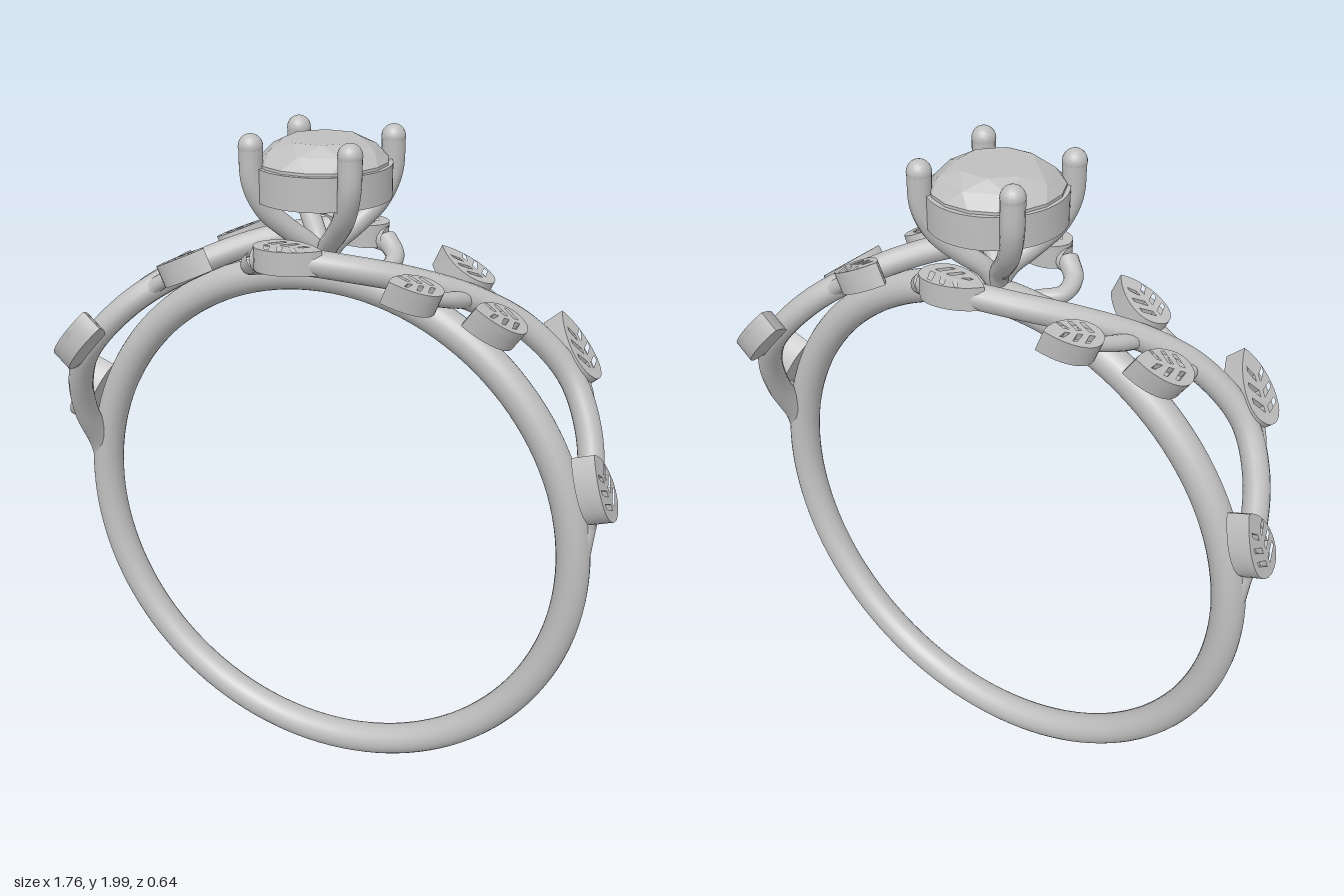
import * as THREE from 'three';
import { toCreasedNormals } from 'three/addons/utils/BufferGeometryUtils.js';
import { ConvexGeometry } from 'three/addons/geometries/ConvexGeometry.js';

const CY = 0.825; // height of the band's centre
const V = (x, y, z) => new THREE.Vector3(x, y, z);
const metal = new THREE.MeshStandardMaterial({ color: 0xbfbfbf });
metal.name = 'silverGrey';

function add(parent, name, geometry) {
  const mesh = new THREE.Mesh(geometry, metal);
  mesh.name = name;
  parent.add(mesh);
  return mesh;
}

// Tube through points, with its radius tapered from r0 to r1 along the length
function taperedTube(points, r0, r1, segments = 40) {
  const curve = new THREE.CatmullRomCurve3(points);
  const geo = new THREE.TubeGeometry(curve, segments, 1, 14);
  const pos = geo.attributes.position, p = V(0, 0, 0);
  for (let i = 0; i < pos.count; i++) {
    const t = Math.floor(i / 15) / segments;
    const c = curve.getPointAt(t);
    p.fromBufferAttribute(pos, i).sub(c).multiplyScalar(r0 + (r1 - r0) * t).add(c);
    pos.setXYZ(i, p.x, p.y, p.z);
  }
  geo.computeVertexNormals();
  // keep the tube seam smooth
  const n = geo.attributes.normal;
  for (let i = 0; i <= segments; i++) {
    const a = i * 15, b = a + 14;
    p.set(n.getX(a) + n.getX(b), n.getY(a) + n.getY(b), n.getZ(a) + n.getZ(b)).normalize();
    n.setXYZ(a, p.x, p.y, p.z);
    n.setXYZ(b, p.x, p.y, p.z);
  }
  return geo;
}

// Point at distance r around the band's axis
const around = (deg, z, r) => {
  const a = THREE.MathUtils.degToRad(deg);
  return V(r * Math.cos(a), CY + r * Math.sin(a), z);
};
const onSurface = (x, z, r = 0.865) => V(x, CY + Math.sqrt(r * r - x * x), z);

function leafShape(L) {
  const s = new THREE.Shape();
  s.moveTo(0, 0);
  s.bezierCurveTo(0.05 * L, 0.42 * L, 0.6 * L, 0.4 * L, L, 0.08 * L);
  s.bezierCurveTo(0.8 * L, -0.3 * L, 0.05 * L, -0.45 * L, 0, 0);
  return s;
}

// Thick leaf with engraved vein slits, laid on the curved surface
function addLeaf(parent, [bx, bz, tx, tz]) {
  const base = onSurface(bx, bz), tip = onSurface(tx, tz);
  const dir = tip.clone().sub(base), L = dir.length();
  const mid = base.clone().add(tip).multiplyScalar(0.5);
  dir.normalize();
  const n = V(mid.x, mid.y - CY, 0);
  n.addScaledVector(dir, -n.dot(dir)).normalize();
  const leaf = new THREE.Group();
  leaf.name = 'leaf';
  leaf.applyMatrix4(new THREE.Matrix4().makeBasis(dir, n.clone().cross(dir), n).setPosition(base));
  const options = { bevelEnabled: false, curveSegments: 14 };
  const body = new THREE.ExtrudeGeometry(leafShape(L), { ...options, depth: 0.045 });
  add(leaf, 'leafBody', toCreasedNormals(body.translate(0, 0, -0.03), 0.6));
  const top = leafShape(L);
  for (const side of [1, -1]) {
    for (const [u, v] of [[0.16, 0.22], [0.36, 0.21], [0.56, 0.15]]) {
      top.holes.push(new THREE.Path([[u, 0.04], [u + 0.09, 0.04], [u + 0.2, v], [u + 0.13, v]]
        .map(([a, b]) => new THREE.Vector2(a * L, side * b * L))));
    }
  }
  const face = new THREE.ExtrudeGeometry(top, { ...options, depth: 0.02 });
  add(leaf, 'leafVeins', toCreasedNormals(face.translate(0, 0, 0.015), 0.6));
  parent.add(leaf);
}

function makeVine() {
  const vine = new THREE.Group();
  vine.name = 'vine';
  const path = [[1, 0, 0.775], [8, -0.01, 0.79], [18, -0.085, 0.82], [28, -0.15, 0.84],
    [38, -0.185, 0.85], [50, -0.145, 0.855], [60, -0.065, 0.855], [70, 0.04, 0.855],
    [80, 0.13, 0.855], [90, 0.18, 0.86], [98, 0.165, 0.855]].map((a) => around(...a));
  add(vine, 'branch', taperedTube(path, 0.038, 0.036, 90));
  // thin curl linking the branch end to the band
  add(vine, 'tendril', taperedTube([path[10], V(-0.16, 1.64, 0.13), V(-0.165, 1.62, 0.07),
    V(-0.12, 1.615, 0.03), V(-0.06, 1.6, 0.01)], 0.03, 0.018));

  // leaves as base x, z and tip x, z
  const leaves = [[0.845, -0.01, 0.775, 0.015], [0.715, -0.215, 0.585, -0.31],
    [0.555, -0.06, 0.445, 0.065], [0.375, 0.09, 0.265, 0.21],
    [0.44, -0.11, 0.28, -0.17], [-0.12, 0.165, 0.08, 0.195]];
  leaves.forEach((l) => addLeaf(vine, l));

  // short stems from the branch into the leaf bases
  const stems = [[9, -0.02, 0.8, 0], [31, -0.165, 0.845, 1], [52, -0.135, 0.85, 2],
    [61, -0.055, 0.85, 3], [52, -0.135, 0.85, 4]];
  for (const [deg, z, r, i] of stems) {
    const [bx, bz, tx, tz] = leaves[i];
    const start = around(deg, z, r);
    const end = onSurface(bx + (tx - bx) * 0.3, bz + (tz - bz) * 0.3, 0.86);
    const mid = onSurface((start.x + bx) / 2, (start.z + bz) / 2, 0.855);
    add(vine, 'leafStem', taperedTube([start, mid, end], 0.026, 0.018, 12));
  }
  return vine;
}

function makeHead() {
  const head = new THREE.Group();
  head.name = 'head';

  // faceted stone: table, crown and girdle rings above a pointed base
  const points = [V(0, 1.765, 0)];
  for (const [count, r, y, turn] of [[8, 0.105, 1.975, 0.5], [8, 0.15, 1.95, 0],
    [16, 0.177, 1.918, 0.5], [16, 0.177, 1.9, 0.5]]) {
    for (let i = 0; i < count; i++) {
      const a = ((i + turn) / count) * Math.PI * 2;
      points.push(V(r * Math.cos(a), y, r * 1.04 * Math.sin(a)));
    }
  }
  add(head, 'stone', new ConvexGeometry(points));

  // oval collar around the stone
  const profile = [[0.158, 1.82], [0.186, 1.82], [0.186, 1.91], [0.165, 1.91], [0.158, 1.82]]
    .map(([x, y]) => new THREE.Vector2(x, y));
  const collar = add(head, 'collar', toCreasedNormals(new THREE.LatheGeometry(profile, 64), 0.6));
  collar.scale.z = 1.05;

  // four curved prongs with rounded ends
  for (const sx of [1, -1]) {
    for (const sz of [1, -1]) {
      const path = [[0.0, 1.63], [0.025, 1.685], [0.07, 1.735], [0.115, 1.795], [0.14, 1.87], [0.143, 1.965]]
        .map(([d, y]) => V(sx * d, y, sz * d));
      add(head, 'prong', taperedTube(path, 0.027, 0.033));
      const cap = add(head, 'prongTip', new THREE.SphereGeometry(0.0335, 20, 14));
      cap.position.copy(path[5]);
    }
  }
  return head;
}

export function createModel() {
  const ring = new THREE.Group();
  ring.name = 'ring';
  const band = add(ring, 'band', new THREE.TorusGeometry(0.773, 0.048, 24, 128));
  band.position.y = CY;
  // the two vines are half-turn copies
  for (const turn of [0, Math.PI]) {
    const vine = makeVine();
    vine.rotation.y = turn;
    ring.add(vine);
  }
  ring.add(makeHead());
  return ring;
}
